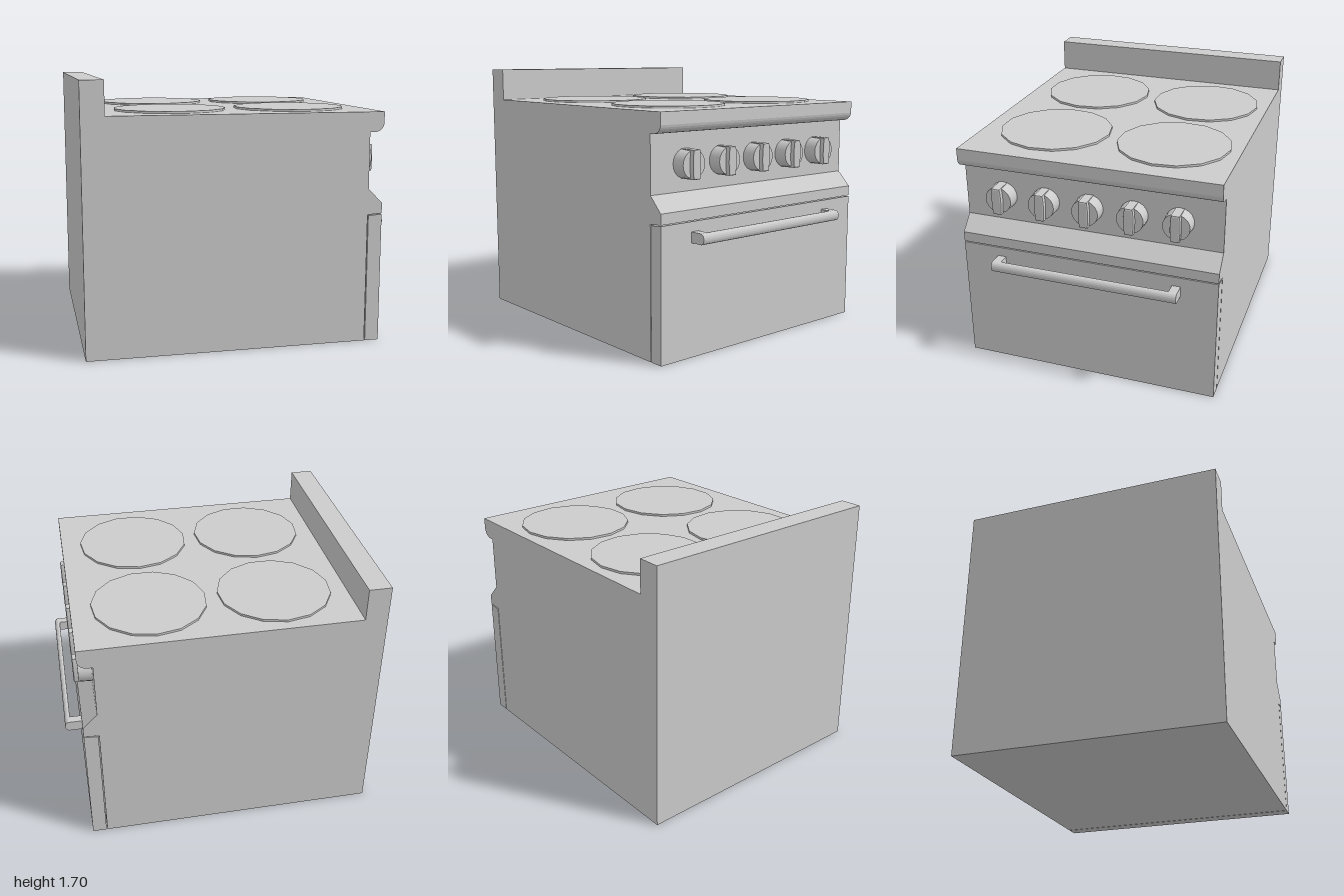
import * as THREE from 'three';

const grey = new THREE.MeshStandardMaterial({ color: 0xcccccc, flatShading: true });
const smooth = new THREE.MeshStandardMaterial({ color: 0xcccccc });
const HALF = 0.845; // half the cooker's width along z

function add(parent, name, geometry, material = grey) {
  const mesh = new THREE.Mesh(geometry, material);
  mesh.name = name;
  parent.add(mesh);
  return mesh;
}

// Extrudes an (x, y) side profile along z, centred on z = 0
function extrudeZ(shape, width, curveSegments = 6) {
  const geometry = new THREE.ExtrudeGeometry(shape, { depth: width, bevelEnabled: false, curveSegments });
  return geometry.translate(0, 0, -width / 2);
}

function polygon(points) {
  return new THREE.Shape(points.map(([x, y]) => new THREE.Vector2(x, y)));
}

function createBody() {
  const s = new THREE.Shape();
  s.moveTo(-1, 0);
  s.lineTo(0.797, 0);
  s.lineTo(0.797, 0.832);
  s.lineTo(0.893, 0.839);
  s.lineTo(0.893, 0.905);
  s.lineTo(0.8, 1);
  s.lineTo(0.8, 1.358);
  // Rounded underside of the hob's front lip
  s.lineTo(0.835, 1.358);
  s.quadraticCurveTo(0.885, 1.365, 0.893, 1.41);
  s.lineTo(0.893, 1.486);
  // Upstand along the back
  s.lineTo(-0.855, 1.486);
  s.lineTo(-0.855, 1.697);
  s.lineTo(-1, 1.697);
  s.closePath();
  return extrudeZ(s, HALF * 2);
}

function createKnob() {
  const knob = new THREE.Group();
  knob.name = 'knob';
  const base = add(knob, 'knobBase', new THREE.CylinderGeometry(0.086, 0.09, 0.086, 20), smooth);
  base.rotation.z = -Math.PI / 2;
  base.position.x = 0.043;
  // Finger grip: slightly bowed bar standing proud of the base
  const s = new THREE.Shape();
  s.moveTo(-0.027, -0.088);
  s.lineTo(0.027, -0.088);
  s.quadraticCurveTo(0.04, 0, 0.027, 0.088);
  s.lineTo(-0.027, 0.088);
  s.quadraticCurveTo(-0.04, 0, -0.027, -0.088);
  const geometry = new THREE.ExtrudeGeometry(s, {
    depth: 0.105, curveSegments: 6, bevelThickness: 0.01, bevelSize: 0.008, bevelOffset: -0.008, bevelSegments: 2,
  });
  const grip = add(knob, 'knobGrip', geometry);
  grip.rotation.y = Math.PI / 2;
  return knob;
}

function createHandle() {
  const handle = new THREE.Group();
  handle.name = 'handle';
  // Bar with a rounded front
  const s = new THREE.Shape();
  s.moveTo(0.965, 0.705);
  s.lineTo(0.978, 0.705);
  s.bezierCurveTo(1.0073, 0.71, 1.0073, 0.767, 0.978, 0.772);
  s.lineTo(0.965, 0.772);
  s.closePath();
  add(handle, 'handleBar', extrudeZ(s, 1.22, 8));
  for (const side of [-1, 1]) {
    const post = add(handle, 'handlePost', new THREE.BoxGeometry(0.08, 0.067, 0.055));
    post.position.set(0.93, 0.7385, side * 0.5825);
  }
  return handle;
}

export function createModel() {
  const cooker = new THREE.Group();
  cooker.name = 'cooker';

  add(cooker, 'body', createBody());

  // Oven door, set off from the body by a thin gap
  const door = polygon([[0.803, 0], [0.893, 0], [0.893, 0.833], [0.803, 0.826]]);
  add(cooker, 'ovenDoor', extrudeZ(door, HALF * 2));
  cooker.add(createHandle());

  // Four hotplates
  for (const x of [-0.393, 0.405]) {
    for (const z of [-0.415, 0.378]) {
      const plate = add(cooker, 'hotplate', new THREE.CylinderGeometry(0.361, 0.361, 0.02, 15));
      plate.rotation.y = Math.PI;
      plate.position.set(x, 1.49, z);
    }
  }

  // Row of five control knobs
  for (let i = 0; i < 5; i++) {
    const knob = createKnob();
    knob.position.set(0.8, 1.168, 0.585 - i * 0.289);
    cooker.add(knob);
  }

  return cooker;
}
